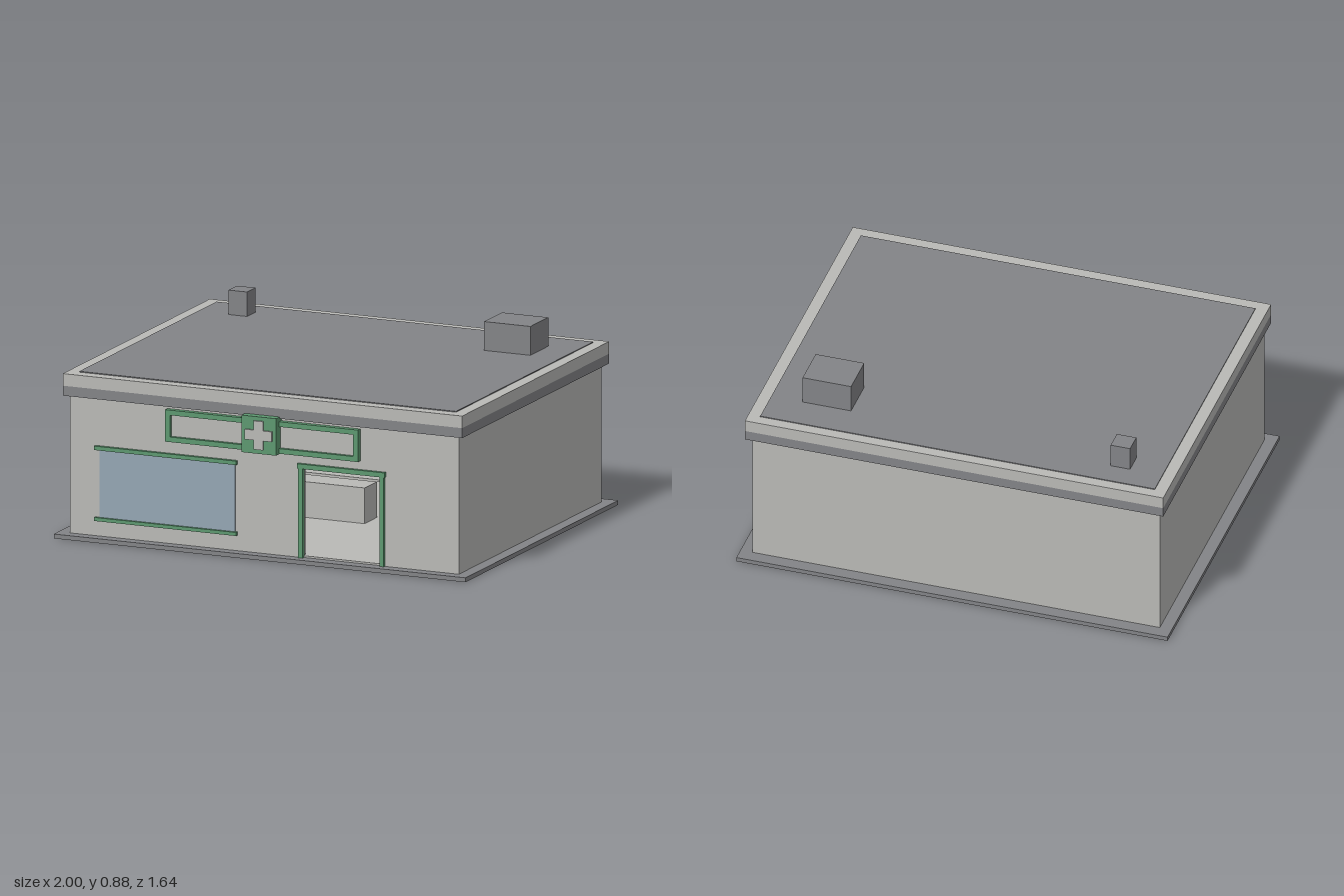
import * as THREE from 'three';

export function createModel() {
  const mat = (name, color, side = THREE.FrontSide) => {
    const m = new THREE.MeshStandardMaterial({ color, side });
    m.name = name;
    return m;
  };
  const wall = mat('pale wall', 0xb9b9b6);
  const dark = mat('dark grey', 0x838487);
  const green = mat('green trim', 0x5d9870);
  const blue = mat('window blue', 0x95a6b3);

  const model = new THREE.Group();
  model.name = 'shop';
  const group = (name) => {
    const g = new THREE.Group();
    g.name = name;
    model.add(g);
    return g;
  };
  // Box given by its limits on each axis
  const box = (parent, name, material, [x0, x1], [y0, y1], [z0, z1]) => {
    const mesh = new THREE.Mesh(new THREE.BoxGeometry(x1 - x0, y1 - y0, z1 - z0), material);
    mesh.position.set((x0 + x1) / 2, (y0 + y1) / 2, (z0 + z1) / 2);
    mesh.name = name;
    parent.add(mesh);
    return mesh;
  };
  const rect = (shape, x0, x1, y0, y1) => {
    shape.moveTo(x0, y0).lineTo(x1, y0).lineTo(x1, y1).lineTo(x0, y1).closePath();
    return shape;
  };
  const extrude = (parent, name, material, shape, z0, z1) => {
    const geo = new THREE.ExtrudeGeometry(shape, { depth: z1 - z0, bevelEnabled: false });
    const mesh = new THREE.Mesh(geo, material);
    mesh.position.z = z0;
    mesh.name = name;
    parent.add(mesh);
    return mesh;
  };

  // Ground slab and inside floor
  box(model, 'baseSlab', dark, [-1, 1], [0, 0.02], [-0.82, 0.8]);
  box(model, 'floor', wall, [-0.91, 0.91], [0.02, 0.028], [-0.73, 0.745]);

  // Hollow walls, front one with the door opening
  const walls = group('walls');
  const front = new THREE.Shape();
  front.moveTo(-0.945, 0.02).lineTo(0.185, 0.02).lineTo(0.185, 0.43).lineTo(0.57, 0.43)
    .lineTo(0.57, 0.02).lineTo(0.945, 0.02).lineTo(0.945, 0.65).lineTo(-0.945, 0.65).closePath();
  extrude(walls, 'frontWall', wall, front, 0.715, 0.75);
  box(walls, 'backWall', wall, [-0.945, 0.945], [0.02, 0.65], [-0.76, -0.725]);
  for (const s of [-1, 1]) {
    const x = s * 0.9275;
    box(walls, 'sideWall', wall, [x - 0.0175, x + 0.0175], [0.02, 0.65], [-0.725, 0.715]);
  }

  // Roof: dark band, pale parapet, dark top
  const roof = group('roof');
  box(roof, 'lowerBand', dark, [-0.97, 0.97], [0.645, 0.69], [-0.79, 0.77]);
  box(roof, 'parapet', wall, [-0.97, 0.97], [0.69, 0.745], [-0.79, 0.77]);
  box(roof, 'roofTop', dark, [-0.915, 0.915], [0.742, 0.749], [-0.74, 0.715]);
  box(roof, 'ventUnit', dark, [0.545, 0.77], [0.745, 0.88], [-0.58, -0.39]);
  box(roof, 'chimney', dark, [-0.765, -0.675], [0.745, 0.86], [-0.63, -0.54]);

  // Window with sill and head rail
  const win = group('window');
  box(win, 'pane', blue, [-0.8, -0.14], [0.1, 0.415], [0.75, 0.754]);
  box(win, 'headRail', green, [-0.82, -0.13], [0.412, 0.43], [0.75, 0.766]);
  box(win, 'sill', green, [-0.82, -0.13], [0.09, 0.106], [0.75, 0.766]);

  // Door frame
  const door = group('doorFrame');
  box(door, 'leftPost', green, [0.168, 0.19], [0.02, 0.428], [0.74, 0.762]);
  box(door, 'rightPost', green, [0.565, 0.585], [0.02, 0.428], [0.74, 0.762]);
  box(door, 'lintel', green, [0.165, 0.59], [0.426, 0.448], [0.74, 0.766]);

  // Sign board with a framed panel and a central cross
  const sign = group('sign');
  const frame = rect(new THREE.Shape(), -0.47, 0.466, 0.487, 0.632);
  frame.holes.push(rect(new THREE.Path(), -0.447, 0.443, 0.51, 0.609));
  extrude(sign, 'signFrame', green, frame, 0.75, 0.775);
  box(sign, 'signPanel', wall, [-0.447, 0.443], [0.51, 0.609], [0.75, 0.758]);
  box(sign, 'crossBoard', green, [-0.085, 0.083], [0.485, 0.653], [0.75, 0.808]);
  const cross = new THREE.Shape();
  const a = 0.023, b = 0.065;
  [[-a, -b], [a, -b], [a, -a], [b, -a], [b, a], [a, a], [a, b], [-a, b], [-a, a], [-b, a], [-b, -a], [-a, -a]]
    .forEach(([x, y], i) => (i ? cross.lineTo(x, y + 0.57) : cross.moveTo(x, y + 0.57)));
  cross.closePath();
  extrude(sign, 'cross', wall, cross, 0.808, 0.817);

  // Shelves on the back wall with goods
  const shelves = group('shelves');
  for (const y of [0.045, 0.15, 0.25]) {
    box(shelves, 'shelf', wall, [-0.85, 0.85], [y, y + 0.01], [-0.725, -0.6]);
  }
  const goods = [
    [0.27, 0.26, 0.08, wall], [0.44, 0.26, 0.08, wall], [0.19, 0.26, 0.06, green],
    [0.19, 0.16, 0.07, dark], [0.36, 0.16, 0.045, blue], [0.525, 0.16, 0.045, wall],
    [0.44, 0.055, 0.04, blue],
  ];
  for (const [x, y, h, m] of goods) {
    box(shelves, 'goods', m, [x - 0.027, x + 0.027], [y, y + h], [-0.69, -0.63]);
  }

  // Counter behind the window
  box(model, 'counter', wall, [-0.79, 0.18], [0.028, 0.19], [-0.05, 0.08]);

  return model;
}
